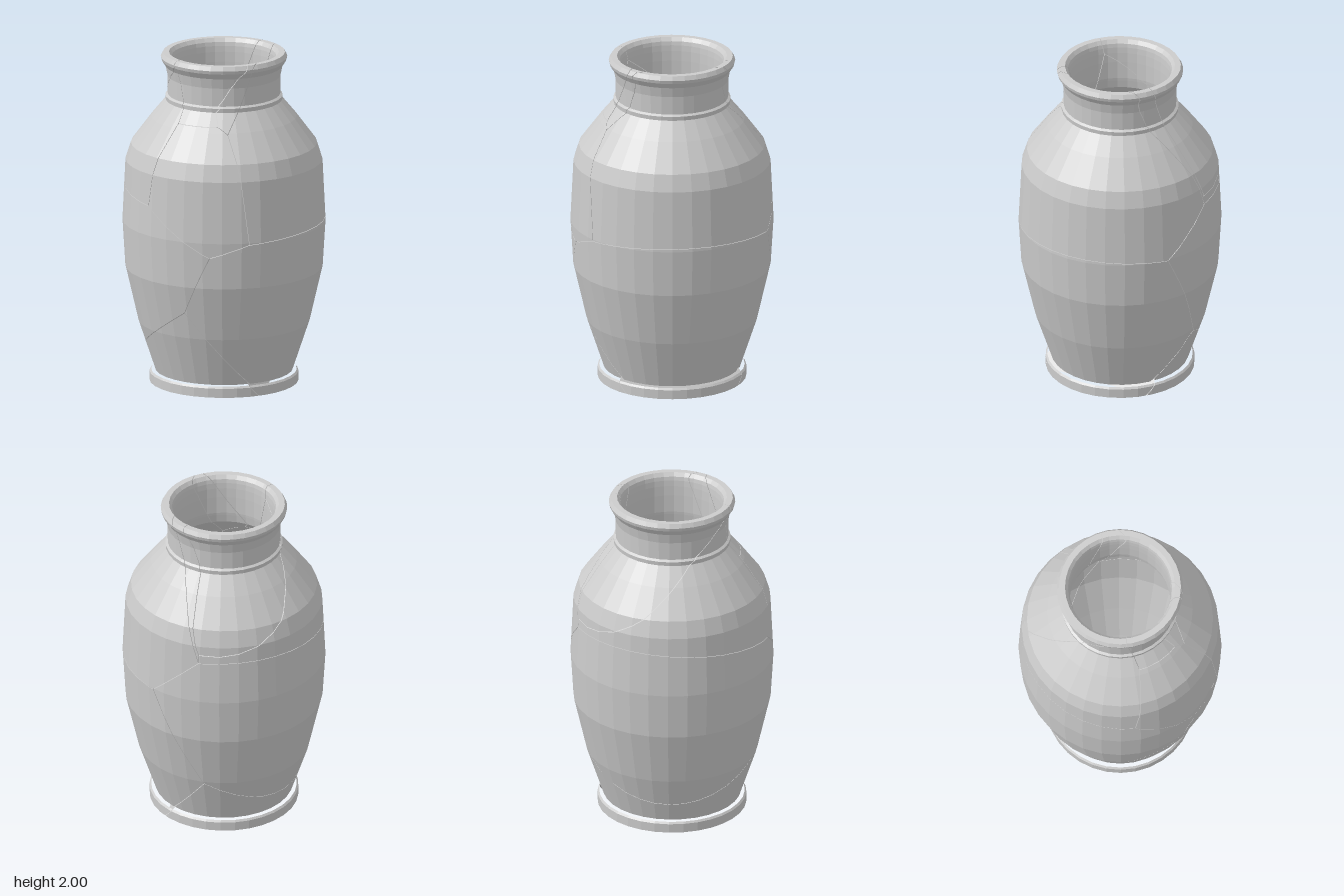
import * as THREE from 'three';

const SIDES = 32;
const HALF_GAP = 0.0015;

// Wall cross-section from floor to rim: [outer radius, outer y, inner radius, inner y]
const WALL = [
  [0, 0, 0, 0.08],
  [0.44, 0, 0.36, 0.08],
  [0.44, 0.055, 0.37, 0.1],
  [0.43, 0.066, 0.375, 0.115],
  [0.407, 0.07, 0.38, 0.13],
  [0.507, 0.37, 0.455, 0.39],
  [0.583, 0.7, 0.535, 0.7],
  [0.6, 0.98, 0.55, 0.98],
  [0.582, 1.35, 0.535, 1.33],
  [0.55, 1.45, 0.505, 1.425],
  [0.43, 1.612, 0.39, 1.58],
  [0.345, 1.715, 0.308, 1.685],
  [0.347, 1.74, 0.3, 1.735],
  [0.333, 1.75, 0.298, 1.752],
  [0.334, 1.86, 0.298, 1.86],
  [0.346, 1.92, 0.3, 1.92],
  [0.369, 1.955, 0.303, 1.955],
  [0.374, 1.975, 0.308, 1.978],
  [0.36, 2, 0.325, 2],
];

// Each shard owns the region where its linear field a*x + b*y + c*z + d is the largest
const SHARDS = {
  baseShard: [0.64, -1, 0.118, 0.479],
  lowerLeftOfCrackShard: [0, 0, 0, 0],
  lowerRightOfCrackShard: [1.184, -0.574, 0, 0.325],
  frontPanelShard: [0.707, 1.124, 0.322, -1.293],
  shoulderSideShard: [0.099, 1.22, 0.099, -1.44],
  upperSideShard: [1.027, 1.176, 0.035, -1.327],
  backStripShard: [0.801, 1.25, 0.077, -1.418],
  backNeckShard: [0.018, 1.55, -0.153, -2.02],
  frontNeckShard: [0.707, 1.374, 0.322, -1.703],
};

const centre = (pts) => pts.reduce((s, p) => s.add(p), new THREE.Vector3()).divideScalar(pts.length);

function polygonNormal(pts) {
  const n = new THREE.Vector3();
  pts.forEach((p, i) => n.add(new THREE.Vector3().crossVectors(p, pts[(i + 1) % pts.length])));
  return n;
}

// One convex block of wall; hidden faces are the joints to its neighbours
function wallBlock(row, side) {
  const at = (r, y, s) => {
    const t = (s % SIDES) * Math.PI * 2 / SIDES;
    return new THREE.Vector3(r * Math.sin(t), y, r * Math.cos(t));
  };
  const ring = (k, s) => [at(WALL[k][0], WALL[k][1], s), at(WALL[k][2], WALL[k][3], s)];
  const [oA, iA] = ring(row, side), [oB, iB] = ring(row, side + 1);
  const [oC, iC] = ring(row + 1, side + 1), [oD, iD] = ring(row + 1, side);
  const mid = centre([oA, iA, oB, iB, oC, iC, oD, iD]);
  const faces = [
    { pts: [oA, oB, oC, oD], show: true },
    { pts: [iA, iB, iC, iD], show: true },
    { pts: [oD, oC, iC, iD], show: row === WALL.length - 2 },
    { pts: [oA, oB, iB, iA], show: false },
    { pts: [oA, oD, iD, iA], show: false },
    { pts: [oB, oC, iC, iB], show: false },
  ];
  for (const f of faces) {
    if (polygonNormal(f.pts).dot(centre(f.pts).sub(mid)) < 0) f.pts.reverse();
  }
  return faces;
}

// Cut a block, keep the part behind the plane and cap the broken face
function cutBlock(faces, plane) {
  const kept = [], rim = [];
  let cut = false;
  for (const { pts, show } of faces) {
    const out = [];
    pts.forEach((p, i) => {
      const q = pts[(i + 1) % pts.length];
      const dp = plane.distanceToPoint(p), dq = plane.distanceToPoint(q);
      if (dp <= 0) out.push(p);
      else cut = true;
      if ((dp <= 0) !== (dq <= 0)) {
        const x = p.clone().lerp(q, dp / (dp - dq));
        out.push(x);
        if (!rim.some((r) => r.distanceTo(x) < 1e-6)) rim.push(x);
      }
    });
    if (out.length > 2) kept.push({ pts: out, show });
  }
  if (cut && rim.length > 2) {
    const c = centre(rim);
    const u = rim[0].clone().sub(c).normalize();
    const v = new THREE.Vector3().crossVectors(plane.normal, u);
    const angle = (p) => Math.atan2(p.clone().sub(c).dot(v), p.clone().sub(c).dot(u));
    rim.sort((a, b) => angle(a) - angle(b));
    kept.push({ pts: rim, show: true });
  }
  return kept;
}

// Planes that part one shard from all others, set back by half the crack width
function shardPlanes(name) {
  const own = SHARDS[name];
  return Object.keys(SHARDS).filter((k) => k !== name).map((k) => {
    const [a, b, c, d] = SHARDS[k].map((value, i) => value - own[i]);
    const plane = new THREE.Plane(new THREE.Vector3(a, b, c), d).normalize();
    plane.constant += HALF_GAP;
    return plane;
  });
}

function shardGeometry(name, blocks) {
  const planes = shardPlanes(name);
  const positions = [];
  for (const block of blocks) {
    let faces = block;
    for (const plane of planes) {
      faces = cutBlock(faces, plane);
      if (!faces.length) break;
    }
    for (const { pts, show } of faces) {
      if (!show) continue;
      for (let i = 1; i < pts.length - 1; i++) {
        const tri = [pts[0], pts[i], pts[i + 1]];
        if (polygonNormal(tri).length() < 1e-9) continue;
        tri.forEach((p) => positions.push(p.x, p.y, p.z));
      }
    }
  }
  const geometry = new THREE.BufferGeometry();
  geometry.setAttribute('position', new THREE.Float32BufferAttribute(positions, 3));
  geometry.computeVertexNormals();
  return geometry;
}

export function createModel() {
  const vase = new THREE.Group();
  vase.name = 'crackedVase';
  const material = new THREE.MeshStandardMaterial({ color: 0xcccccc, flatShading: true });

  // Whole vase as a ring of wall blocks
  const blocks = [];
  for (let row = 0; row < WALL.length - 1; row++) {
    for (let side = 0; side < SIDES; side++) blocks.push(wallBlock(row, side));
  }

  // Broken pieces, fitted together
  for (const name of Object.keys(SHARDS)) {
    const mesh = new THREE.Mesh(shardGeometry(name, blocks), material);
    mesh.name = name;
    vase.add(mesh);
  }
  return vase;
}
